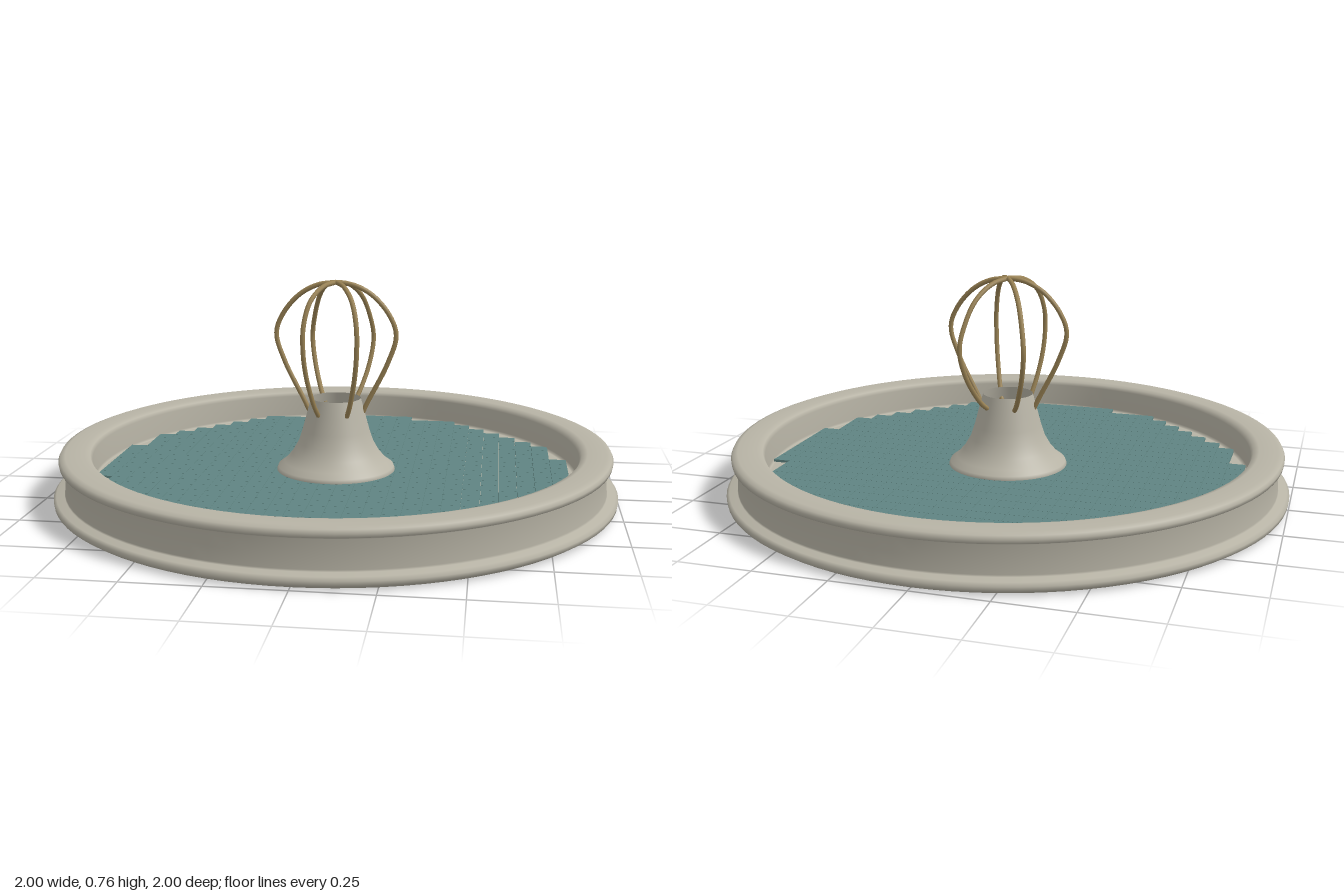
import * as THREE from 'three';
import { mergeGeometries } from 'three/addons/utils/BufferGeometryUtils.js';

const material = (name, color, side = THREE.FrontSide) => {
  const m = new THREE.MeshStandardMaterial({ color, side });
  m.name = name;
  return m;
};

const lathe = (name, profile, mat, segments = 96) => {
  const points = profile.map(([r, y]) => new THREE.Vector2(r, y));
  const mesh = new THREE.Mesh(new THREE.LatheGeometry(points, segments), mat);
  mesh.name = name;
  return mesh;
};

export function createModel() {
  const stone = material('stone', 0xb7b3a5, THREE.DoubleSide);
  const water = material('water', 0x5f8482);
  const brass = material('brass', 0x9a8355);
  const model = new THREE.Group();
  model.name = 'fountain';

  // Round basin: base lip, recessed band, rounded rim, inner wall and floor
  model.add(lathe('basin', [
    [0, 0], [0.965, 0], [0.98, 0.003], [0.998, 0.015], [1, 0.03], [0.99, 0.04],
    [0.962, 0.044], [0.96, 0.05], [0.958, 0.095], [0.96, 0.142], [0.962, 0.147],
    [0.976, 0.15], [0.978, 0.163], [0.972, 0.174], [0.955, 0.18],
    [0.89, 0.18], [0.87, 0.174], [0.862, 0.16], [0.862, 0.078],
    [0.858, 0.07], [0.85, 0.07], [0, 0.07],
  ], stone));

  // Water surface of square tiles that fill a circle
  const pitch = 0.0616, tiles = [];
  for (let i = -13; i <= 13; i++) {
    for (let j = -13; j <= 13; j++) {
      if (i * i + j * j > 180) continue;
      const tile = new THREE.BoxGeometry(pitch - 0.001, 0.009, pitch - 0.001);
      tiles.push(tile.translate(i * pitch, 0.0755, j * pitch));
    }
  }
  const surface = new THREE.Mesh(mergeGeometries(tiles), water);
  surface.name = 'waterTiles';
  model.add(surface);

  // Hollow flared pedestal, open at the top
  model.add(lathe('pedestal', [
    [0.208, 0.07], [0.213, 0.08], [0.208, 0.093], [0.185, 0.11], [0.158, 0.14],
    [0.135, 0.18], [0.12, 0.225], [0.104, 0.285], [0.089, 0.34],
  ], stone, 64));

  // Cage of six bent wires that meet at the top; [radius, height] along each
  const sideWire = [[0.097, 0.29], [0.113, 0.325], [0.185, 0.47], [0.214, 0.57],
    [0.19, 0.64], [0.13, 0.71], [0.065, 0.745], [0, 0.755]];
  const frontWire = [[0.1, 0.29], [0.125, 0.33], [0.168, 0.44], [0.185, 0.53],
    [0.182, 0.62], [0.145, 0.7], [0.075, 0.745], [0, 0.755]];
  const backWire = [[0.1, 0.3], [0.13, 0.325], [0.2, 0.43], [0.228, 0.53],
    [0.205, 0.61], [0.155, 0.69], [0.08, 0.74], [0, 0.755]];
  const cage = new THREE.Group();
  cage.name = 'wireCage';
  [sideWire, frontWire, frontWire, sideWire, backWire, backWire].forEach((wire, k) => {
    const a = k * Math.PI / 3;
    const curve = new THREE.CatmullRomCurve3(wire.map(([r, y]) =>
      new THREE.Vector3(r * Math.cos(a), y, r * Math.sin(a))));
    const mesh = new THREE.Mesh(new THREE.TubeGeometry(curve, 40, 0.0085, 8), brass);
    mesh.name = 'cageWire';
    cage.add(mesh);
  });
  model.add(cage);
  return model;
}
